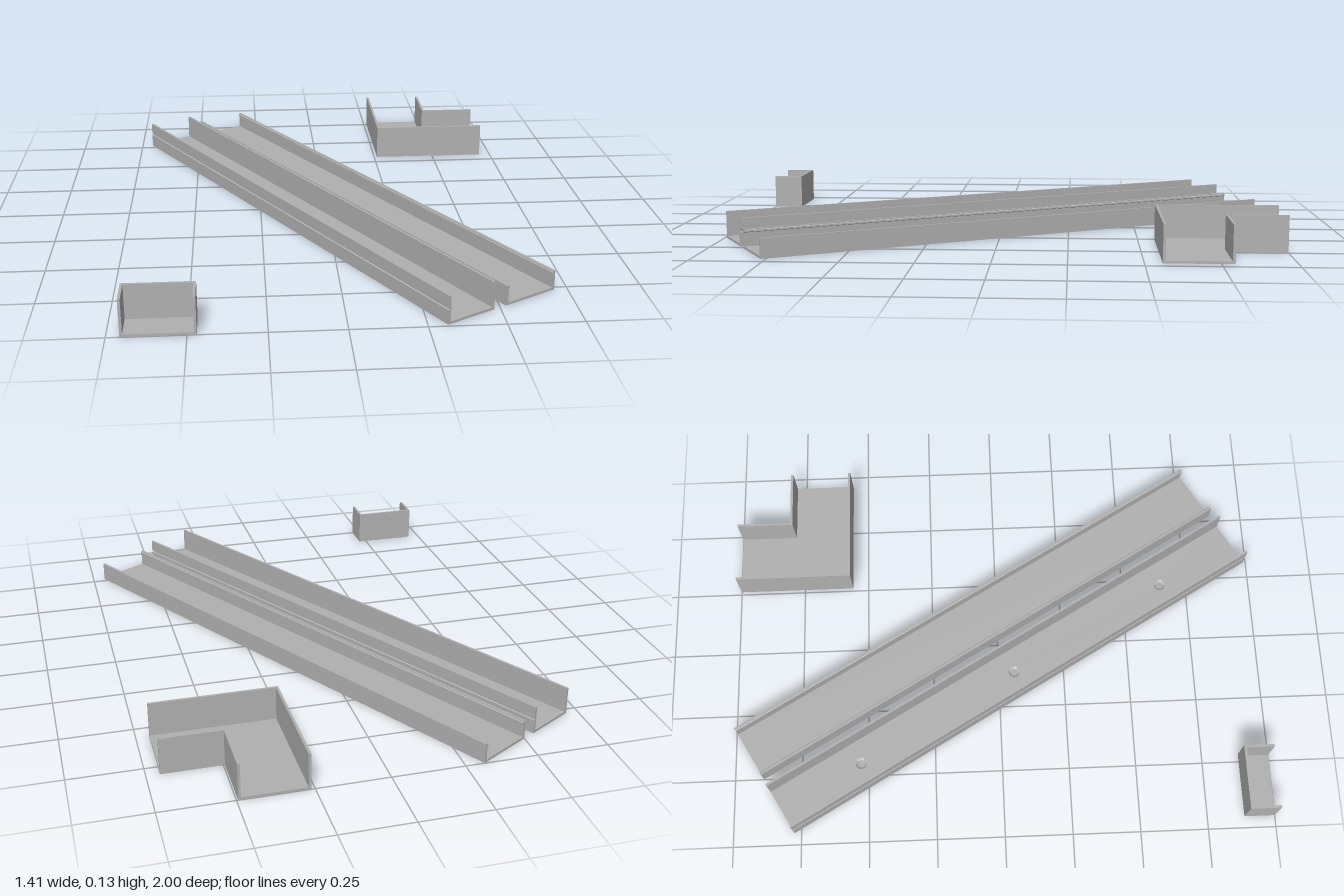
import * as THREE from 'three';
import { toCreasedNormals } from 'three/addons/utils/BufferGeometryUtils.js';

const T = 0.009; // sheet thickness
const LENGTH = 2.04;
const grey = new THREE.MeshStandardMaterial({ color: 0xb0b0b0 });
grey.name = 'plain grey';

function addMesh(parent, name, geometry) {
  const mesh = new THREE.Mesh(geometry, grey);
  mesh.name = name;
  parent.add(mesh);
  return mesh;
}

function shapeFrom(points) {
  return new THREE.Shape(points.map(([x, y]) => new THREE.Vector2(x, y)));
}

// Flat outline given as [x, z], raised from y0 to y1
function slab(points, y0, y1, holes = []) {
  const shape = shapeFrom(points.map(([x, z]) => [x, -z]));
  for (const { x, z, r } of holes) {
    const path = new THREE.Path();
    path.absarc(x, -z, r, 0, Math.PI * 2, true);
    shape.holes.push(path);
  }
  return new THREE.ExtrudeGeometry(shape, { depth: y1 - y0, bevelEnabled: false, curveSegments: 16 })
    .rotateX(-Math.PI / 2)
    .translate(0, y0, 0);
}

const rect = (x0, z0, x1, z1) => [[x0, z0], [x1, z0], [x1, z1], [x0, z1]];

// Long U channel; wallProfile lists [distance from outer face, y]
function channel(name, width, wallProfile, holeZs = []) {
  const group = new THREE.Group();
  group.name = name;
  const half = width / 2;
  const holes = holeZs.map((z) => ({ x: 0, z, r: 0.022 }));
  addMesh(group, 'channelBase', slab(rect(-half + T, -LENGTH / 2, half - T, LENGTH / 2), 0, T, holes));

  for (const side of [-1, 1]) {
    const profile = shapeFrom(wallProfile.map(([d, y]) => [side * (half - d), y]));
    const geo = new THREE.ExtrudeGeometry(profile, { depth: LENGTH, bevelEnabled: false });
    addMesh(group, side < 0 ? 'rightWall' : 'leftWall', geo.translate(0, 0, -LENGTH / 2));
  }

  // Countersunk screw holes
  const sink = [[0.022, T], [0.013, 0.003], [0.013, 0], [0.022, 0]].map(([r, y]) => new THREE.Vector2(r, y));
  for (const z of holeZs) {
    const geo = toCreasedNormals(new THREE.LatheGeometry(sink, 32), 0.5);
    addMesh(group, 'countersunkHole', geo).position.z = z;
  }
  group.rotation.y = Math.PI / 6;
  return group;
}

export function createModel() {
  const model = new THREE.Group();
  model.name = 'cableTrunkingSet';

  // Base channel with a snap groove on the outside of each wall
  const baseWall = [[0, 0], [0, 0.05], [0.004, 0.052], [0.004, 0.057], [0, 0.059], [0, 0.1], [T, 0.1], [T, 0]];
  const base = channel('baseChannel', 0.19, baseWall, [-0.68, 0, 0.68]);
  base.position.set(-0.114, 0, 0.06);
  model.add(base);

  // Cover channel with a snap ridge on the inside of each wall
  const coverWall = [[0, 0], [0, 0.07], [T, 0.07], [T, 0.067], [T + 0.004, 0.065], [T + 0.004, 0.06], [T, 0.058], [T, 0]];
  const cover = channel('coverChannel', 0.212, coverWall);
  cover.position.set(0.103, 0, -0.063);
  model.add(cover);

  // L-shaped corner piece, open at both ends
  const corner = new THREE.Group();
  corner.name = 'cornerPiece';
  model.add(corner);
  const [x0, x1, x2] = [0.262, 0.495, 0.705];
  const [z0, z1, z2] = [-1, -0.795, -0.56];
  const H = 0.13;
  addMesh(corner, 'cornerBase', slab([[x0, z0], [x1, z0], [x1, z1], [x2, z1], [x2, z2], [x0, z2]], 0, T));
  addMesh(corner, 'outerWall',
    slab([[x0, z0], [x0 + T, z0], [x0 + T, z2 - T], [x2, z2 - T], [x2, z2], [x0, z2]], T, H));
  addMesh(corner, 'innerWall',
    slab([[x1 - T, z0], [x1, z0], [x1, z1], [x2, z1], [x2, z1 + T], [x1 - T, z1 + T]], T, H));

  // End cap, open at the front and top
  const cap = new THREE.Group();
  cap.name = 'endCap';
  model.add(cap);
  const [a, b, c, d] = [-0.707, -0.47, 0.888, 1];
  addMesh(cap, 'capBase', slab(rect(a, c, b, d), 0, T));
  addMesh(cap, 'capWall', slab(
    [[a, c], [b, c], [b, d], [b - T, d], [b - T, c + T], [a + T, c + T], [a + T, d], [a, d]], T, H));

  return model;
}
